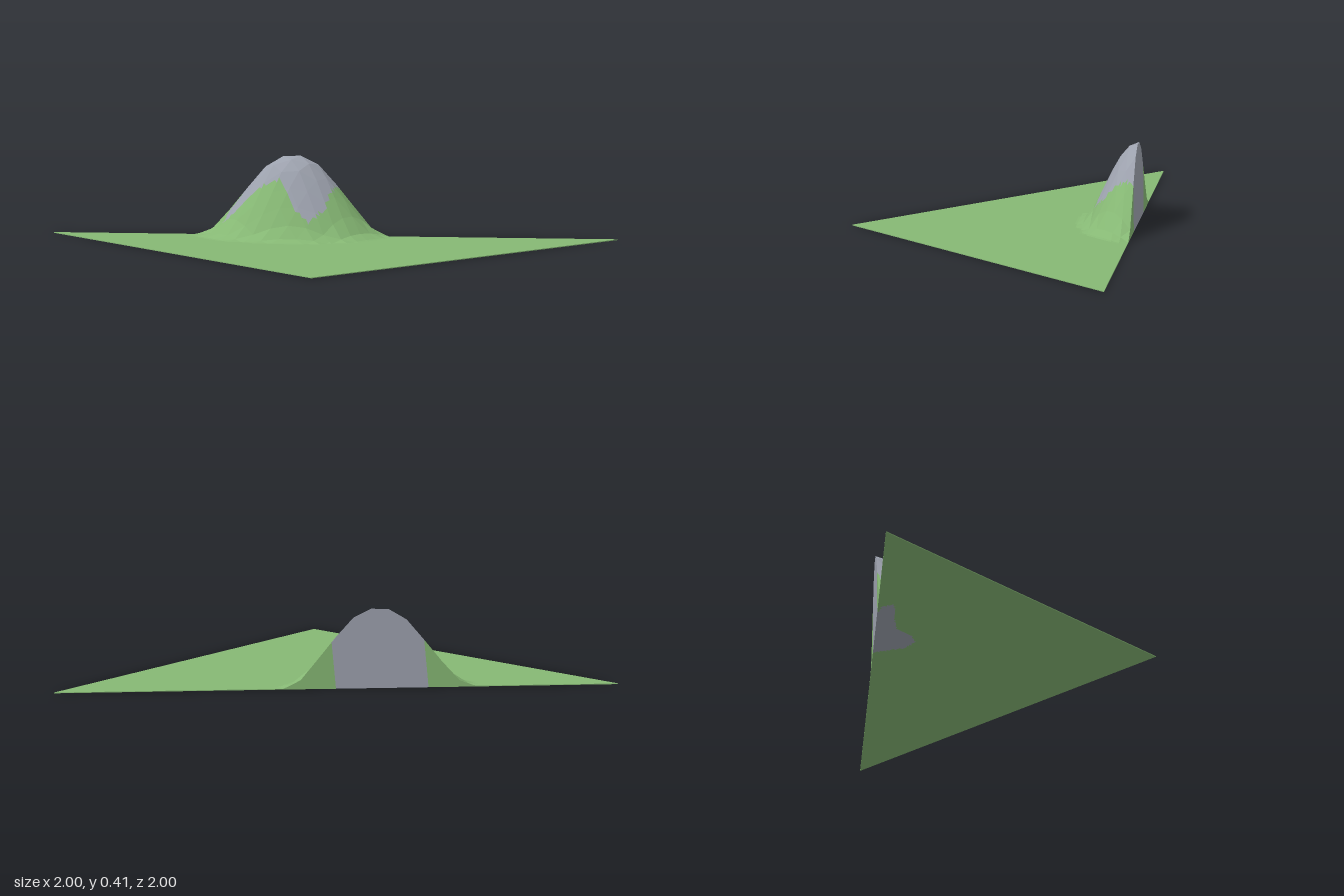
import * as THREE from 'three';

const N = 128, CELL = 1 / 16;
const grass = new THREE.MeshStandardMaterial({ color: 0x86b874 });
grass.name = 'grass green';
const rock = new THREE.MeshStandardMaterial({ color: 0x9da2ae });
rock.name = 'rock grey';

// Hill height against elliptical distance from the summit
const profile = [[0, 0.41], [0.1, 0.405], [0.28, 0.357], [0.45, 0.26], [0.65, 0.14], [0.82, 0.04], [1, 0]];
// Plan outline of the rocky core
const core = [[0.01, 0.01], [-0.06, 0.04], [-0.14, 0.075], [-0.23, 0.065], [-0.26, 0], [-0.27, -0.12],
  [-0.33, -0.2], [-0.4, -0.27], [-0.45, -0.34], [-0.39, -0.36], [-0.32, -0.32], [-0.15, -0.17]];
core[core.length - 1] = [0, -0.32]; // keeps the outline beyond the cut edge

function hill(x, z) {
  const r = Math.hypot(((x + z) / 2 + 0.15) / 0.34, (z - x) / 0.42);
  for (let k = 1; k < profile.length; k++) {
    const [r0, h0] = profile[k - 1], [r1, h1] = profile[k];
    if (r < r1) return h0 + (h1 - h0) * (r - r0) / (r1 - r0);
  }
  return 0;
}

// Faceted surface: hill sampled on a coarse grid split along the cut edge
function height(x, z) {
  const x0 = Math.floor(x / CELL) * CELL, z0 = Math.floor(z / CELL) * CELL;
  const fx = (x - x0) / CELL, fz = (z - z0) / CELL;
  const a = hill(x0, z0), c = hill(x0 + CELL, z0 + CELL);
  const b = fz >= fx ? hill(x0, z0 + CELL) : hill(x0 + CELL, z0);
  const hi = Math.max(fx, fz), lo = Math.min(fx, fz);
  return Math.max(0.004, a + (b - a) * hi + (c - b) * lo);
}

function inCore(x, z) {
  let inside = false;
  core.forEach(([ax, az], k) => {
    const [bx, bz] = core[(k + 1) % core.length];
    if ((az > z) !== (bz > z) && x < ax + (bx - ax) * (z - az) / (bz - az)) inside = !inside;
  });
  return inside;
}

// Collects triangles into a grass part and a rock part
function collector(group, name) {
  const lists = { Grass: [], Rock: [] };
  return {
    tri(a, b, c) {
      const x = (a[0] + b[0] + c[0]) / 3, z = (a[2] + b[2] + c[2]) / 3;
      lists[inCore(x, z) ? 'Rock' : 'Grass'].push(...a, ...b, ...c);
    },
    finish() {
      for (const [kind, list] of Object.entries(lists)) {
        if (!list.length) continue;
        const geo = new THREE.BufferGeometry();
        geo.setAttribute('position', new THREE.Float32BufferAttribute(list, 3));
        geo.computeVertexNormals();
        const mesh = new THREE.Mesh(geo, kind === 'Rock' ? rock : grass);
        mesh.name = name + kind;
        group.add(mesh);
      }
    },
  };
}

export function createModel() {
  const group = new THREE.Group();
  group.name = 'triangularTerrain';
  const at = (i) => -1 + (2 * i) / N;
  const top = (i, j) => [at(i), height(at(i), at(j)), at(j)];
  const low = (i, j) => [at(i), 0, at(j)];

  // Land surface and flat underside
  const land = collector(group, 'land'), base = collector(group, 'underside');
  for (let i = 0; i < N; i++) {
    for (let j = i; j < N; j++) {
      const corners = [[[i, j], [i, j + 1], [i + 1, j + 1]]];
      if (j > i) corners.push([[i, j], [i + 1, j + 1], [i + 1, j]]);
      for (const [a, b, c] of corners) {
        land.tri(top(...a), top(...b), top(...c));
        base.tri(low(...a), low(...c), low(...b));
      }
    }
  }
  land.finish();
  base.finish();

  // Sheer cut face on the diagonal, thin rims on the other two sides
  const cliff = collector(group, 'cliff'), rim = collector(group, 'rim');
  const wall = (out, p, q) => {
    out.tri(low(...p), top(...p), top(...q));
    out.tri(low(...p), top(...q), low(...q));
  };
  for (let i = 0; i < N; i++) {
    wall(cliff, [i, i], [i + 1, i + 1]);
    wall(rim, [0, i + 1], [0, i]);
    wall(rim, [i + 1, N], [i, N]);
  }
  cliff.finish();
  rim.finish();
  return group;
}
